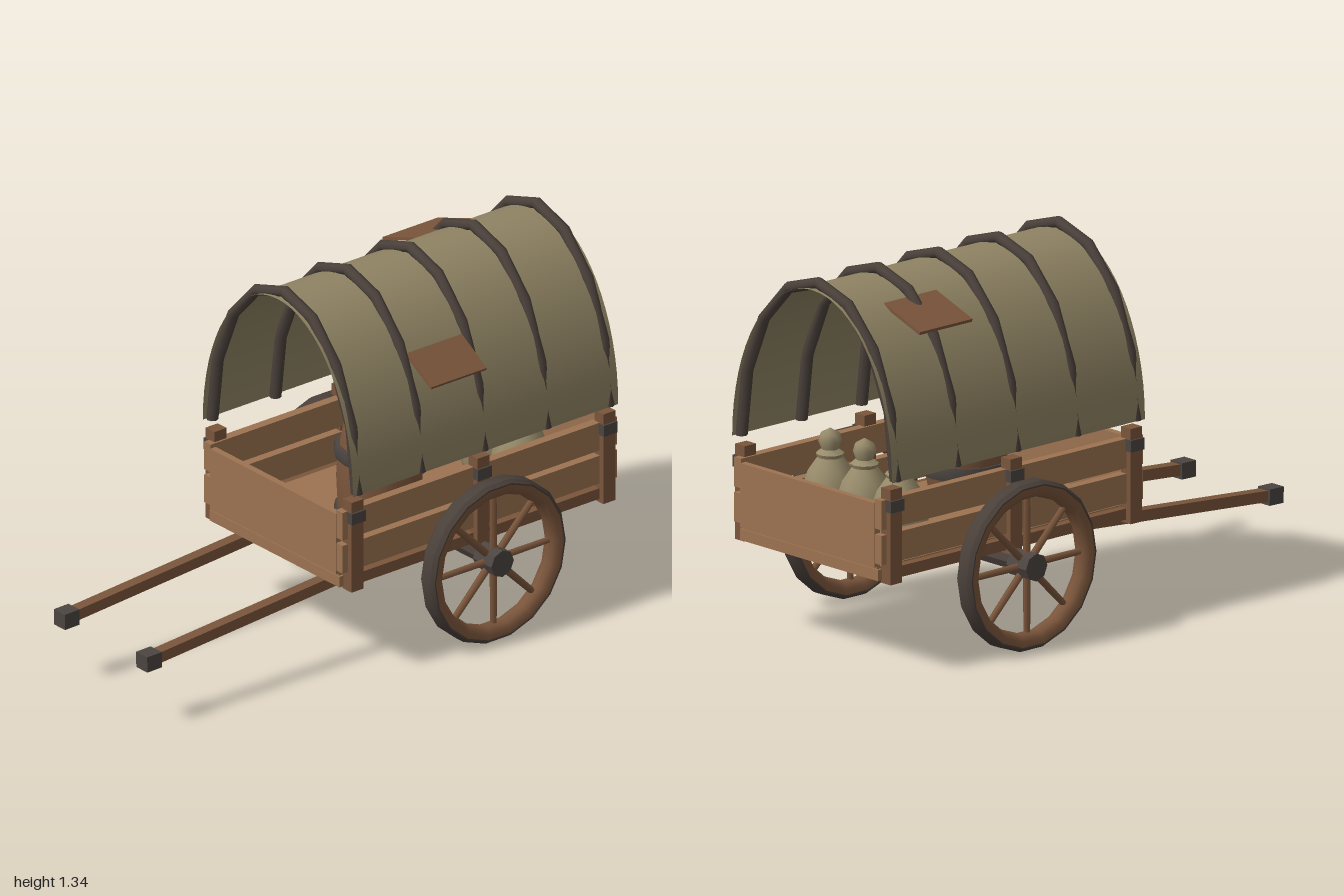
import * as THREE from 'three';
import { toCreasedNormals } from 'three/addons/utils/BufferGeometryUtils.js';

function material(name, color, side = THREE.FrontSide) {
  const m = new THREE.MeshStandardMaterial({ color, side });
  m.name = name;
  return m;
}

export function createModel() {
  const model = new THREE.Group();
  model.name = 'coveredCart';

  const plankWood = material('plankWood', 0x9c7350);
  const darkWood = material('darkWood', 0x7a553b);
  const iron = material('iron', 0x4c4541);
  const ribWood = material('ribWood', 0x4a403a);
  const canvas = material('canvas', 0x8f8363, THREE.DoubleSide);
  const sackcloth = material('sackcloth', 0x978b6a);

  const add = (name, geometry, mat, x = 0, y = 0, z = 0, parent = model) => {
    const mesh = new THREE.Mesh(geometry, mat);
    mesh.name = name;
    mesh.position.set(x, y, z);
    parent.add(mesh);
    return mesh;
  };
  const box = (name, w, h, d, mat, x, y, z, parent) =>
    add(name, new THREE.BoxGeometry(w, h, d), mat, x, y, z, parent);
  const lathe = (points, sides, crease = 0.7) => toCreasedNormals(
    new THREE.LatheGeometry(points.map(([r, y]) => new THREE.Vector2(r, y)), sides), crease);

  const midZ = -0.38;

  // Bed: floor, end boards and slatted sides
  box('floor', 0.68, 0.035, 1.2, plankWood, 0, 0.372, midZ);
  for (const end of [1, -1]) {
    const z = midZ + end * 0.6;
    box('endBoard', 0.68, 0.23, 0.025, plankWood, 0, 0.505, z);
    box('endRail', 0.7, 0.04, 0.03, plankWood, 0, 0.362, z - end * 0.01);
  }
  for (const side of [1, -1]) {
    box('upperSidePlank', 0.035, 0.105, 1.22, plankWood, side * 0.356, 0.582, midZ);
    box('lowerSidePlank', 0.035, 0.105, 1.22, plankWood, side * 0.356, 0.457, midZ);
    box('sideRail', 0.04, 0.04, 1.14, darkWood, side * 0.352, 0.365, midZ);

    // Posts with iron bands
    for (const z of [0.18, midZ, -0.94]) {
      box('post', 0.048, 0.34, 0.054, darkWood, side * 0.37, 0.503, z);
      box('postBand', 0.054, 0.042, 0.062, iron, side * 0.374, 0.612, z);
    }

    // Pulling shafts
    const slope = Math.atan(0.076);
    const shaft = box('shaft', 0.042, 0.04, 1.86, darkWood, side * 0.222, 0.316, 0.05);
    shaft.rotation.x = slope;
    const cap = box('shaftCap', 0.06, 0.058, 0.065, iron, side * 0.222, 0.245, 0.966);
    cap.rotation.x = 0.02;
  }

  // Axle
  const axle = add('axle', toCreasedNormals(new THREE.CylinderGeometry(0.036, 0.036, 0.84, 8), 0.6),
    ribWood, 0, 0.308, midZ);
  axle.rotation.z = Math.PI / 2;

  // Wheels
  const rimGeometry = lathe([
    [0.288, -0.036], [0.288, 0.036], [0.265, 0.034], [0.247, 0.022],
    [0.24, 0], [0.247, -0.022], [0.265, -0.034], [0.288, -0.036],
  ], 18, 0.9);
  const tyreGeometry = lathe([
    [0.285, -0.036], [0.291, -0.037], [0.302, -0.022], [0.302, 0.022], [0.291, 0.037], [0.285, 0.036],
  ], 18, 0.5);
  const hubGeometry = toCreasedNormals(new THREE.CylinderGeometry(0.05, 0.05, 0.1, 8), 0.6);
  const spokeGeometry = new THREE.CylinderGeometry(0.012, 0.014, 0.24, 6);
  spokeGeometry.translate(0, 0.14, 0);
  for (const side of [1, -1]) {
    const wheel = new THREE.Group();
    wheel.name = side > 0 ? 'leftWheel' : 'rightWheel';
    wheel.position.set(side * 0.447, 0.304, midZ);
    for (const [name, geometry, mat] of [
      ['rim', rimGeometry, darkWood], ['tyre', tyreGeometry, ribWood], ['hub', hubGeometry, iron],
    ]) add(name, geometry, mat, 0, 0, 0, wheel).rotation.z = Math.PI / 2;
    for (let i = 0; i < 8; i++) {
      add('spoke', spokeGeometry, darkWood, 0, 0, 0, wheel).rotation.x = i * Math.PI / 4;
    }
    model.add(wheel);
  }

  // Canvas cover: half an elliptical tube, open at both ends
  const cover = new THREE.CylinderGeometry(1, 1, 1.18, 32, 1, true, -Math.PI / 2, Math.PI);
  cover.rotateX(-Math.PI / 2);
  cover.scale(0.405, 0.605, 1);
  add('canvasCover', cover, canvas, 0, 0.7, midZ);

  // Bent ribs: coarse chords around the cover
  class RibCurve extends THREE.Curve {
    getPoint(t, target = new THREE.Vector3()) {
      const a = t * Math.PI;
      return target.set(0.39 * Math.cos(a), 0.7 + 0.625 * Math.sin(a), 0);
    }
    getUtoTmapping(u) { return u; }
  }
  const ribGeometry = new THREE.TubeGeometry(new RibCurve(), 8, 0.021, 8);
  const ribEnd = new THREE.CircleGeometry(0.021, 8);
  ribEnd.rotateX(Math.PI / 2);
  for (let i = 0; i < 5; i++) {
    const z = 0.18 - i * 0.28;
    add('rib', ribGeometry, ribWood, 0, 0, z);
    for (const side of [1, -1]) add('ribEnd', ribEnd, ribWood, side * 0.39, 0.7, z);
  }

  // Wooden patches on the cover
  const rearPatch = box('rearPatch', 0.275, 0.012, 0.245, darkWood, -0.212, 1.231, -0.66);
  rearPatch.rotation.z = 0.34;
  const sidePatch = box('sidePatch', 0.275, 0.012, 0.245, darkWood, 0.312, 1.094, -0.24);
  sidePatch.rotation.z = -0.53;

  // Barrel with iron hoops
  add('barrel', lathe([
    [0, 0.39], [0.127, 0.39], [0.146, 0.49], [0.152, 0.595], [0.146, 0.7], [0.125, 0.8], [0, 0.8],
  ], 14), darkWood, 0.172, 0, -0.1);
  for (const y of [0.478, 0.711]) {
    add('barrelHoop', lathe([
      [0.13, -0.024], [0.154, -0.024], [0.16, 0], [0.154, 0.024], [0.13, 0.024],
    ], 14), iron, 0.172, y, -0.1);
  }

  // Tied sacks
  const sackGeometry = lathe([
    [0, 0.39], [0.085, 0.39], [0.103, 0.44], [0.1, 0.51], [0.078, 0.58], [0.045, 0.627],
    [0.05, 0.64], [0.03, 0.655], [0.041, 0.685], [0.034, 0.71], [0, 0.73],
  ], 10, 0.9);
  for (const x of [-0.175, 0, 0.175]) add('sack', sackGeometry, sackcloth, x, 0, -0.725);

  return model;
}
